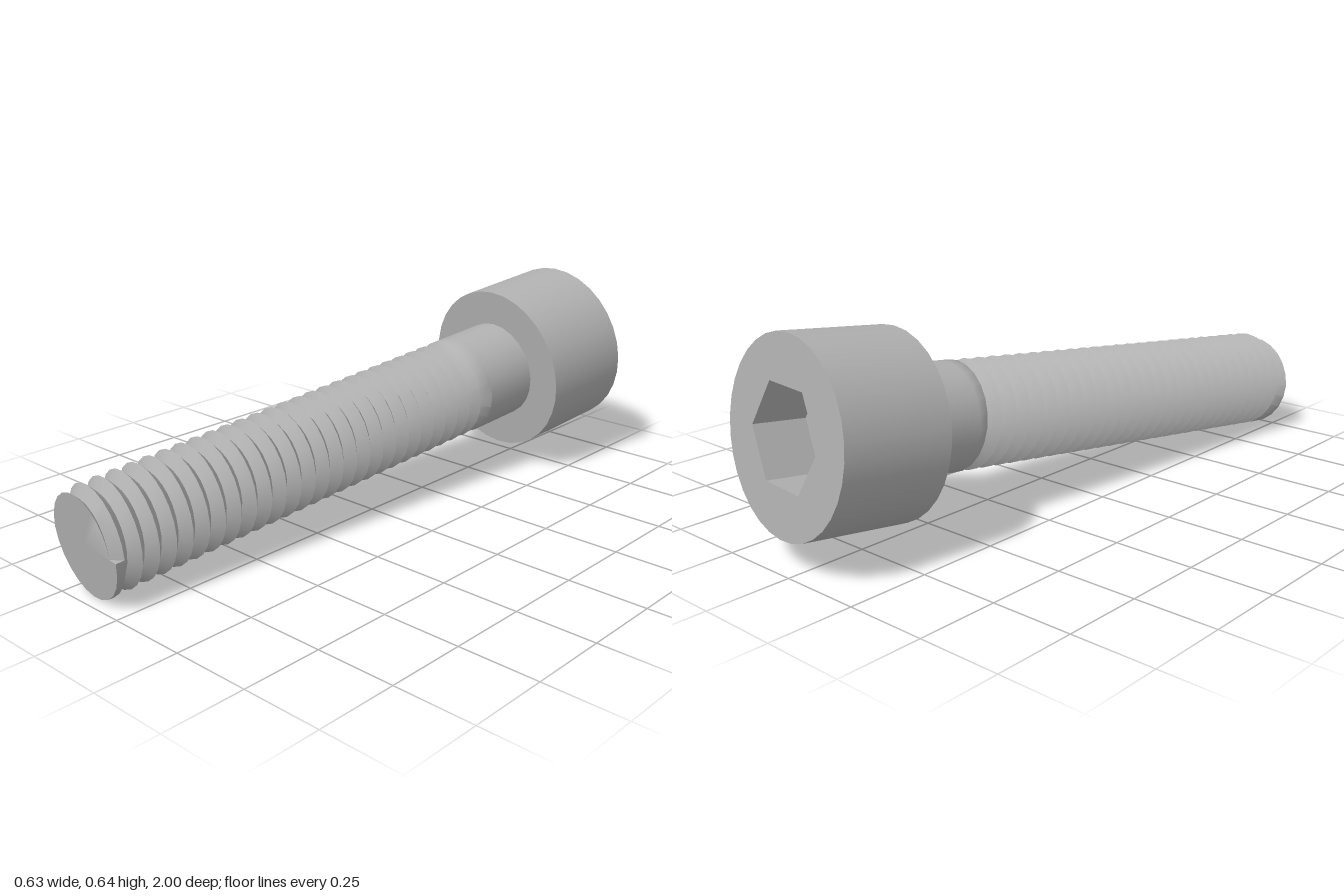
import * as THREE from 'three';
import { toCreasedNormals } from 'three/addons/utils/BufferGeometryUtils.js';

const CREST = 0.163, ROOT = 0.13;      // thread radii
const PITCH = 0.0541, TURNS = 26;
const SHAFT = 1.624;                   // tip to underside of head
const HEAD_R = 0.276, HEAD_H = 0.333;
const HEX_R = 0.157, HEX_DEPTH = 0.165;
const SEGS = 24;

// Axial profile at t (fraction of one turn): list of [distance from tip, radius]
function threadProfile(t) {
  const r0 = ROOT + (CREST - ROOT) * Math.min(1, 2 * t);
  const rows = [[0, r0], [Math.max(0, PITCH * (t - 0.5)), r0]];
  for (let j = 0; j < TURNS; j++) {
    rows.push([PITCH * (j + t), ROOT], [PITCH * (j + 0.5 + t), CREST]);
  }
  rows.push([PITCH * (TURNS + 0.5), CREST]);
  return rows;
}

function threadGeometry() {
  const pos = [];
  const tri = (a, b, c) => pos.push(...a, ...b, ...c);
  const cols = [];
  for (let i = 0; i <= SEGS; i++) {
    const a = (i % SEGS) / SEGS * Math.PI * 2;
    cols.push(threadProfile(i / SEGS).map(([s, r]) => [r * Math.cos(a), r * Math.sin(a), -s]));
  }
  for (let i = 0; i < SEGS; i++) {
    const p = cols[i], q = cols[i + 1];
    tri([0, 0, 0], p[0], q[0]); // flat tip
    for (let k = 0; k < p.length - 1; k++) {
      if (p[k][2] !== p[k + 1][2]) tri(p[k], p[k + 1], q[k + 1]);
      if (q[k][2] !== q[k + 1][2]) tri(p[k], q[k + 1], q[k]);
    }
  }
  // Walls where the groove starts and stops
  tri([ROOT, 0, 0], [CREST, 0, 0], [CREST, 0, -PITCH / 2]);
  tri([CREST, 0, -PITCH * (TURNS - 0.5)], [ROOT, 0, -PITCH * TURNS], [CREST, 0, -PITCH * (TURNS + 0.5)]);
  const g = new THREE.BufferGeometry();
  g.setAttribute('position', new THREE.Float32BufferAttribute(pos, 3));
  return toCreasedNormals(g, 0.9);
}

// Open tube along z between two distances from the tip
function tube(radius, from, to, sides) {
  return new THREE.CylinderGeometry(radius, radius, to - from, sides, 1, true)
    .rotateX(Math.PI / 2).translate(0, 0, -(from + to) / 2);
}

export function createModel() {
  const steel = new THREE.MeshStandardMaterial({ color: 0xb0b0b0 });
  steel.name = 'steel grey';
  const socketSteel = steel;
  const bolt = new THREE.Group();
  bolt.name = 'bolt';
  const add = (name, geometry, parent = bolt) => {
    const m = new THREE.Mesh(geometry, socketSteel);
    m.name = name;
    parent.add(m);
    return m;
  };

  add('thread', threadGeometry());
  add('shank', tube(CREST, PITCH * (TURNS + 0.5), SHAFT, SEGS));

  // Cylindrical head with a hexagonal socket in its outer face
  const head = new THREE.Group();
  head.name = 'head';
  bolt.add(head);
  const end = SHAFT + HEAD_H;
  add('headSide', tube(HEAD_R, SHAFT, end, 32), head);
  add('headUnderside', new THREE.CircleGeometry(HEAD_R, 32).rotateZ(Math.PI / 2).translate(0, 0, -SHAFT), head);

  const corners = [];
  for (let i = 0; i < 6; i++) {
    const a = i * Math.PI / 3;
    corners.push(new THREE.Vector2(HEX_R * Math.cos(a), HEX_R * Math.sin(a)));
  }
  const face = new THREE.Shape().absarc(0, 0, HEAD_R, 0, Math.PI * 2, false);
  face.holes.push(new THREE.Path(corners.slice().reverse()));
  add('headFace', new THREE.ShapeGeometry(face, 16).rotateY(Math.PI).translate(0, 0, -end), head);

  // Socket walls face inwards, floor faces out of the head
  const walls = [];
  for (let i = 0; i < 6; i++) {
    const p = corners[i], q = corners[(i + 1) % 6], o = -end, f = -end + HEX_DEPTH;
    walls.push(p.x, p.y, o, p.x, p.y, f, q.x, q.y, f, p.x, p.y, o, q.x, q.y, f, q.x, q.y, o);
  }
  const wallGeo = new THREE.BufferGeometry();
  wallGeo.setAttribute('position', new THREE.Float32BufferAttribute(walls, 3));
  wallGeo.computeVertexNormals();
  add('socketWalls', wallGeo, head);
  add('socketFloor', new THREE.CircleGeometry(HEX_R, 6).rotateY(Math.PI).translate(0, 0, -end + HEX_DEPTH), head);

  // Lay the bolt along its slightly tilted axis, tip to the front
  bolt.rotation.set(0.1054, -0.1013, 0, 'YXZ');
  bolt.position.set(-0.158, 0.162, 0.976);

  const model = new THREE.Group();
  model.name = 'socketHeadBolt';
  model.add(bolt);
  return model;
}
